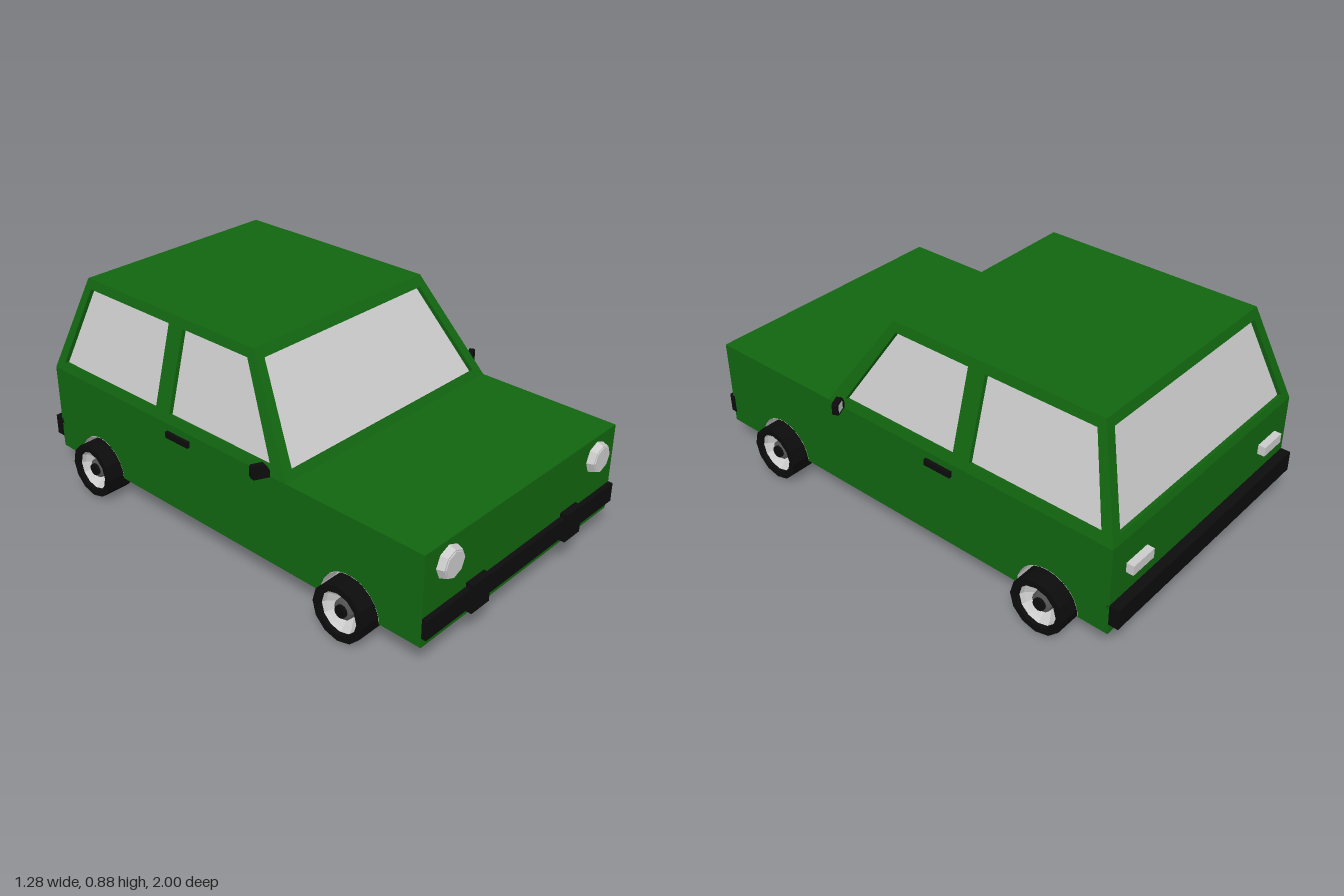
import * as THREE from 'three';

const mat = (color) => new THREE.MeshStandardMaterial({ color, flatShading: true, side: THREE.DoubleSide });

export function createModel() {
  const car = new THREE.Group();
  car.name = 'car';
  const green = mat(0x126610), black = mat(0x0c0c0c), grey = mat(0xcccccc), steel = mat(0x555555);

  function add(parent, name, geometry, material, x = 0, y = 0, z = 0) {
    const mesh = new THREE.Mesh(geometry, material);
    mesh.name = name;
    mesh.position.set(x, y, z);
    parent.add(mesh);
    return mesh;
  }
  // Box given by its lower and upper bounds
  const block = (parent, name, material, [x0, x1], [y0, y1], [z0, z1]) =>
    add(parent, name, new THREE.BoxGeometry(x1 - x0, y1 - y0, z1 - z0), material,
      (x0 + x1) / 2, (y0 + y1) / 2, (z0 + z1) / 2);

  const floorY = 0.11, beltY = 0.48, roofY = 0.875;
  const halfW = 0.57, roofHalfW = 0.46, wellX = 0.49, archR = 0.135;
  const axles = [-0.7, 0.655];

  // Lower body: a plain core, with fenders carrying the wheel arches
  block(car, 'bodyCore', green, [-wellX, wellX], [floorY, beltY], [-0.96, 0.97]);
  const profile = new THREE.Shape();
  profile.moveTo(-0.96, floorY);
  for (const z of axles) {
    profile.lineTo(z - archR, floorY);
    profile.absarc(z, floorY, archR, Math.PI, 0, true);
  }
  profile.lineTo(0.97, floorY);
  profile.lineTo(0.97, beltY);
  profile.lineTo(-0.96, beltY);
  profile.closePath();
  const fender = new THREE.ExtrudeGeometry(profile, { depth: halfW - wellX, bevelEnabled: false, curveSegments: 12 });
  fender.rotateY(-Math.PI / 2);
  add(car, 'leftFender', fender, green, halfW);
  add(car, 'rightFender', fender, green, -wellX);

  // Cabin: sloped panels with recessed glass; outlines are [across, height]
  function panel(name, base, across, up, outline, windows) {
    const ex = new THREE.Vector3(...across);
    const ey = new THREE.Vector3(...up);
    const stretch = ey.length() / (roofY - beltY);
    ey.normalize();
    const frame = new THREE.Matrix4()
      .makeBasis(ex, ey, ex.clone().cross(ey)).setPosition(...base);
    const flat = (pts) => pts.map(([s, y]) => new THREE.Vector2(s, (y - beltY) * stretch));
    const shape = new THREE.Shape(flat(outline));
    shape.holes = windows.map((w) => new THREE.Path(flat(w)));
    const depth = 0.025;
    const geo = new THREE.ExtrudeGeometry(shape, { depth, bevelEnabled: false });
    add(car, name + 'Frame', geo.translate(0, 0, -depth).applyMatrix4(frame), green);
    for (const w of windows) {
      const glass = new THREE.ShapeGeometry(new THREE.Shape(flat(w)));
      add(car, name + 'Glass', glass.translate(0, 0, -0.018).applyMatrix4(frame), grey);
    }
  }
  const trapezoid = (a, y0, b, y1) => [[-a, y0], [a, y0], [b, y1], [-b, y1]];
  const endOutline = trapezoid(halfW, beltY, roofHalfW, roofY);
  const endWindow = trapezoid(0.52, 0.51, 0.43, 0.837);
  const rise = roofY - beltY;
  panel('windshield', [0, beltY, 0.36], [1, 0, 0], [0, rise, -0.26], endOutline, [endWindow]);
  panel('rearWindow', [0, beltY, -0.96], [-1, 0, 0], [0, rise, 0.13], endOutline, [endWindow]);

  const sideOutline = [[0.36, beltY], [0.1, roofY], [-0.83, roofY], [-0.96, beltY]];
  const sideWindows = [
    [[0.275, 0.515], [0.08, 0.837], [-0.262, 0.837], [-0.262, 0.515]],
    [[-0.338, 0.515], [-0.338, 0.837], [-0.805, 0.837], [-0.905, 0.515]],
  ];
  for (const s of [1, -1]) {
    const place = (pts) => pts.map(([z, y]) => [-s * z, y]);
    panel(s > 0 ? 'leftSide' : 'rightSide', [s * halfW, beltY, 0], [0, 0, -s],
      [-s * (halfW - roofHalfW), rise, 0], place(sideOutline), sideWindows.map(place));
  }
  block(car, 'roof', green, [-roofHalfW, roofHalfW], [roofY - 0.02, roofY], [-0.83, 0.1]);

  // Bumpers
  block(car, 'frontBumper', black, [-halfW, halfW], [0.15, 0.23], [0.96, 0.99]);
  block(car, 'rearBumper', black, [-halfW, halfW], [0.155, 0.24], [-1, -0.95]);

  // Wheel geometry, turned so that its outer face looks along +x
  const lathe = (pts) => new THREE.LatheGeometry(pts.map((p) => new THREE.Vector2(...p)), 12).rotateZ(-Math.PI / 2);
  const tyre = lathe([[0, -0.065], [0.115, -0.065], [0.115, 0.065], [0.087, 0.065], [0.084, 0.05]]);
  const rim = lathe([[0.087, 0.058], [0.078, 0.035], [0.04, 0]]);
  const hub = lathe([[0.042, 0], [0.04, 0.035], [0.028, 0.04], [0, 0.04]]);
  const cap = lathe([[0.025, 0.03], [0.025, 0.052], [0, 0.052]]);
  const wellArc = new THREE.CylinderGeometry(archR - 0.001, archR - 0.001, halfW - wellX, 12, 1, true, 0, Math.PI)
    .rotateZ(Math.PI / 2);
  const wellBack = new THREE.CircleGeometry(archR, 12, 0, Math.PI).rotateY(Math.PI / 2);

  const lamp = new THREE.CylinderGeometry(0.055, 0.065, 0.03, 8).rotateX(Math.PI / 2);
  const lampGlass = new THREE.CylinderGeometry(0.048, 0.05, 0.006, 8).rotateX(Math.PI / 2);
  const mirrorShape = new THREE.Shape([
    [-0.036, -0.027], [0.024, -0.027], [0.033, -0.018], [0.033, 0.02],
    [0.026, 0.027], [-0.018, 0.027], [-0.036, 0],
  ].map((p) => new THREE.Vector2(...p)));
  const mirrorBody = new THREE.ExtrudeGeometry(mirrorShape, { depth: 0.022, bevelEnabled: false }).translate(0, 0, -0.011);

  // Everything that comes in mirrored pairs
  for (const s of [1, -1]) {
    const half = new THREE.Group();
    half.name = s > 0 ? 'leftFittings' : 'rightFittings';
    half.scale.x = s;
    car.add(half);

    for (const z of axles) {
      add(half, 'wheelWell', wellArc, grey, (halfW + wellX) / 2, floorY, z);
      add(half, 'wheelWellBack', wellBack, grey, wellX + 0.001, floorY, z);
      const wheel = new THREE.Group();
      wheel.name = z > 0 ? 'frontWheel' : 'rearWheel';
      wheel.position.set(0.565, 0.115, z);
      half.add(wheel);
      add(wheel, 'tyre', tyre, black);
      add(wheel, 'rim', rim, grey);
      add(wheel, 'hub', hub, steel);
      add(wheel, 'hubCap', cap, black);
    }

    add(half, 'headlight', lamp, grey, 0.445, 0.395, 0.982);
    add(half, 'headlightGlass', lampGlass, grey, 0.445, 0.395, 0.997);
    block(half, 'tailLight', grey, [0.365, 0.485], [0.33, 0.37], [-0.99, -0.95]);
    block(half, 'bumperGuard', black, [0.235, 0.335], [0.13, 0.247], [0.96, 1]);
    block(half, 'doorHandle', black, [0.56, 0.583], [0.425, 0.45], [-0.265, -0.142]);

    const mirror = new THREE.Group();
    mirror.name = 'wingMirror';
    mirror.position.set(0.607, 0.512, 0.267);
    mirror.rotation.y = 0.45;
    half.add(mirror);
    add(mirror, 'mirrorHousing', mirrorBody, black);
    add(mirror, 'mirrorGlass', new THREE.PlaneGeometry(0.04, 0.036), grey, 0.005, 0, -0.0125);
  }
  return car;
}
